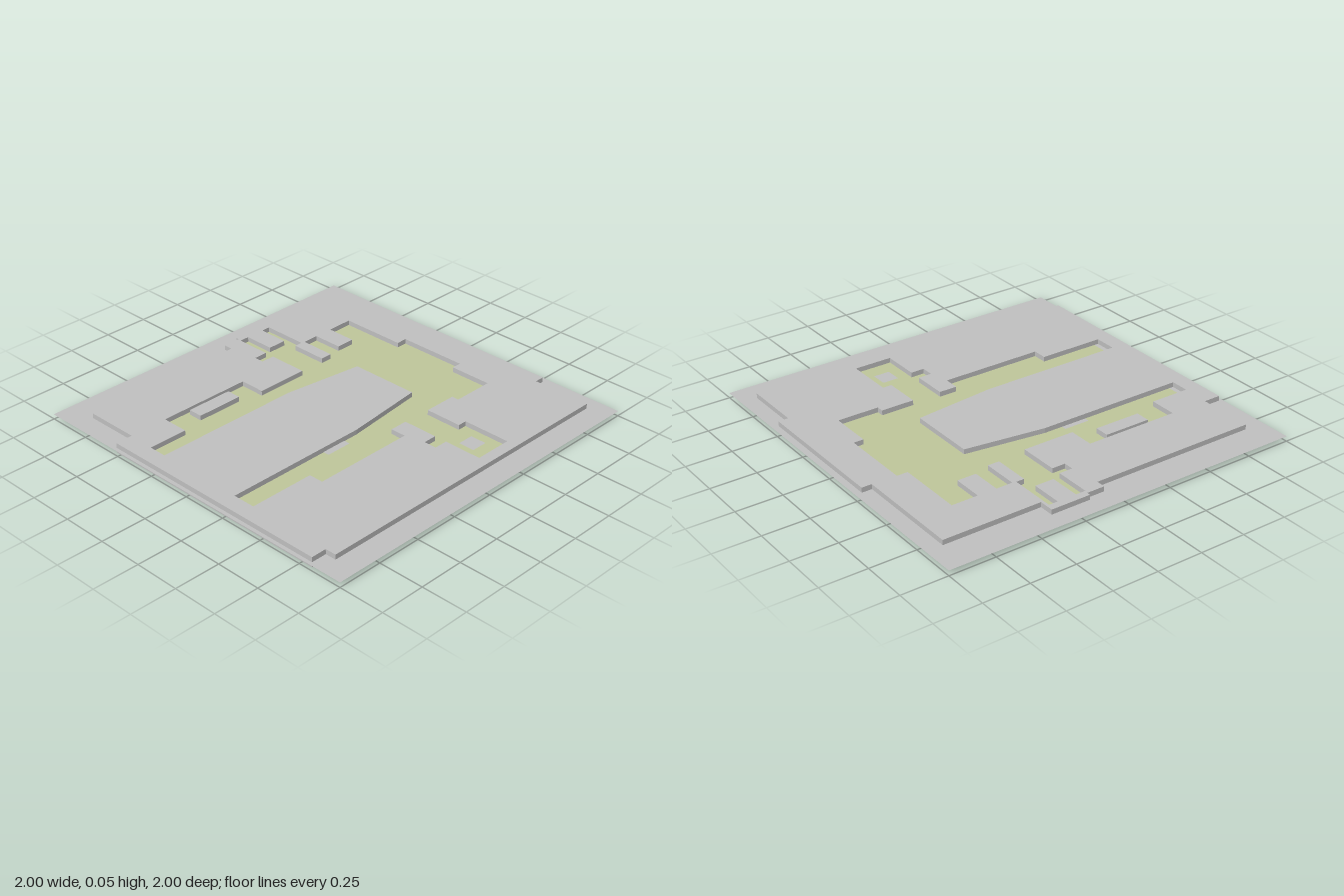
import * as THREE from 'three';

const HEIGHT = 0.054;

// Outlines as [x, z] corners
const outer = [
  [-0.885, -0.83], [0.05, -0.83], [0.05, -0.88], [0.15, -0.88], [0.15, -0.9], [0.37, -0.9],
  [0.37, -0.82], [0.91, -0.82], [0.91, -0.235], [0.965, -0.235], [0.965, 0.545], [0.91, 0.545],
  [0.91, 0.87], [-0.895, 0.87], [-0.895, 0.81], [-0.98, 0.81], [-0.98, -0.53], [-0.885, -0.53],
];
const recess = [
  [-0.89, -0.38], [-0.67, -0.38], [-0.67, -0.53], [-0.145, -0.53], [-0.145, -0.39], [0.145, -0.39],
  [0.145, -0.61], [0.07, -0.61], [0.07, -0.665], [0.145, -0.665], [0.145, -0.86], [0.355, -0.86],
  [0.355, -0.61], [0.31, -0.61], [0.31, -0.41], [0.375, -0.41], [0.375, -0.605], [0.465, -0.605],
  [0.465, -0.44], [0.57, -0.44], [0.57, -0.605], [0.715, -0.605], [0.715, -0.24], [0.775, -0.24],
  [0.775, 0.145], [0.72, 0.145], [0.72, 0.38], [0.49, 0.38], [0.49, 0.34], [0.305, 0.34],
  [0.305, 0.545], [0.355, 0.545], [0.355, 0.81], [0.145, 0.81], [0.145, 0.6], [0.07, 0.6],
  [0.07, 0.53], [0.145, 0.53], [0.145, 0.335], [0.045, 0.335], [0.045, 0.42], [-0.525, 0.42],
  [-0.525, 0.34], [-0.89, 0.34], [-0.89, 0.215], [-0.08, 0.215], [0.38, 0.165], [0.38, -0.22],
  [-0.06, -0.28], [-0.89, -0.28],
];
const rect = (x0, x1, z0, z1) => [[x0, z0], [x1, z0], [x1, z1], [x0, z1]];

function toShape(points, hole) {
  const vectors = (list) => list.map(([x, z]) => new THREE.Vector2(x, z));
  const shape = new THREE.Shape(vectors(points));
  if (hole) shape.holes.push(new THREE.Path(vectors(hole)));
  return shape;
}

export function createModel() {
  const group = new THREE.Group();
  const grey = new THREE.MeshStandardMaterial({ name: 'grey', color: 0xc1c1c1, side: THREE.DoubleSide });
  const green = new THREE.MeshStandardMaterial({ name: 'paleGreen', color: 0xc0c89c, side: THREE.DoubleSide });

  const add = (name, geometry, material) => {
    const mesh = new THREE.Mesh(geometry, material);
    mesh.name = name;
    group.add(mesh);
  };
  // Flat sheet facing up
  const sheet = (name, points, hole, y, material) => {
    const mirror = (list) => list && list.map(([x, z]) => [x, -z]);
    const geometry = new THREE.ShapeGeometry(toShape(mirror(points), mirror(hole)));
    add(name, geometry.rotateX(-Math.PI / 2).translate(0, y, 0), material);
  };
  // Solid slab of full height
  const solid = (name, points, hole) => {
    const geometry = new THREE.ExtrudeGeometry(toShape(points, hole), { depth: HEIGHT, bevelEnabled: false });
    add(name, geometry.rotateX(Math.PI / 2).translate(0, HEIGHT, 0), grey);
  };

  // Ground sheet at mid height, with the green floor set into it
  const floor = recess.map(([x, z]) => [Math.max(x, -0.865), z]);
  sheet('groundSheet', rect(-1, 1, -1, 1), floor, HEIGHT / 2, grey);
  sheet('greenFloor', floor, null, HEIGHT / 2, green);

  // Raised slab with the recess cut through, and islands inside it
  solid('raisedSlab', outer, recess);
  solid('backIsland', rect(0.2, 0.305, -0.86, -0.69));
  solid('sideIsland', rect(-0.525, -0.265, -0.51, -0.43));

  // Bare patches on the floor
  [[0.21, 0.3, 0.63, 0.72], [-0.31, -0.165, 0.215, 0.25], [-0.31, -0.165, -0.31, -0.283]].forEach((r) =>
    sheet('barePatch', rect(...r), null, HEIGHT / 2 + 0.002, grey));

  return group;
}
